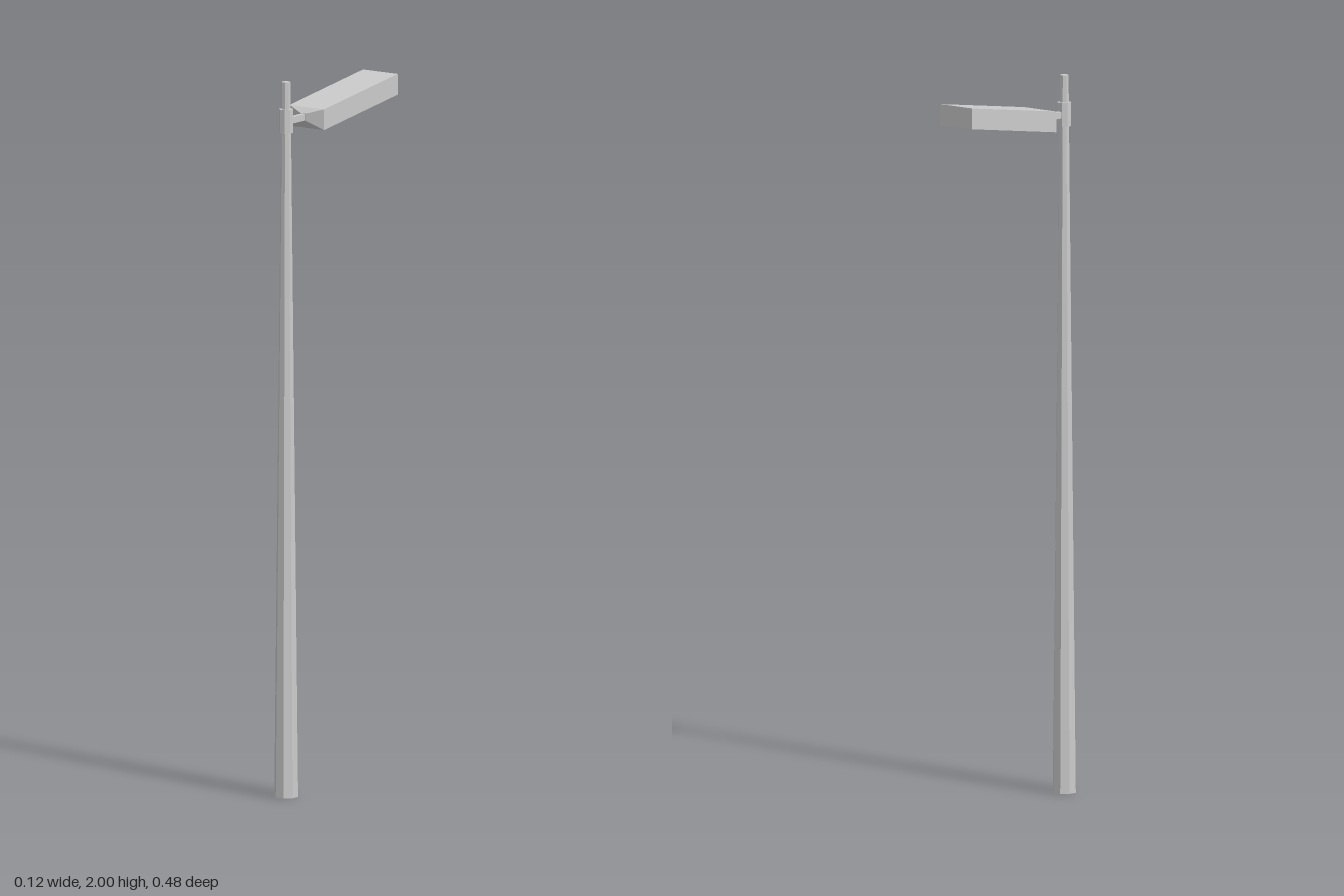
import * as THREE from 'three';

const grey = new THREE.MeshStandardMaterial({ color: 0xcccccc, flatShading: true });
const yellow = new THREE.MeshStandardMaterial({ color: 0xd2c470, flatShading: true });

const POLE_Z = 0.207;
const HEAD_FRONT = 0.109, HEAD_BACK = -0.238, HEAD_BASE = 1.857, HEAD_H = 0.058, SLOPE = 0.14;

// Skin between successive four-cornered rings, with optional end caps
function loft(rings, capStart = false, capEnd = false) {
  const pos = [];
  const quad = (a, b, c, d) => [a, b, c, a, c, d].forEach(p => pos.push(...p));
  for (let i = 0; i < rings.length - 1; i++) {
    const r = rings[i], s = rings[i + 1];
    for (let k = 0; k < 4; k++) {
      const n = (k + 1) % 4;
      quad(r[k], s[k], s[n], r[n]);
    }
  }
  if (capStart) quad(...rings[0]);
  if (capEnd) quad(...[...rings[rings.length - 1]].reverse());
  const geo = new THREE.BufferGeometry();
  geo.setAttribute('position', new THREE.Float32BufferAttribute(pos, 3));
  geo.computeVertexNormals();
  return geo;
}

// Sloping horizontal ring of the lamp head, inset from its outline, at height h above the underside
function headRing(inset, h) {
  const x = 0.059 - inset, f = HEAD_FRONT - inset, b = HEAD_BACK + inset;
  return [[-x, f], [x, f], [x, b], [-x, b]]
    .map(([px, pz]) => [px, HEAD_BASE + h + SLOPE * (HEAD_FRONT - pz), pz]);
}

// Upright ring facing the pole
function uprightRing(hw, y0, y1, z) {
  return [[-hw, y0, z], [hw, y0, z], [hw, y1, z], [-hw, y1, z]];
}

export function createModel() {
  const model = new THREE.Group();
  const add = (name, geo, mat = grey) => {
    const mesh = new THREE.Mesh(geo, mat);
    mesh.name = name;
    model.add(mesh);
    return mesh;
  };

  // Octagonal upright parts, sized across the flats
  const octagon = (name, top, bottom, y0, y1) => {
    const k = 1 / Math.cos(Math.PI / 8);
    const geo = new THREE.CylinderGeometry(top * k, bottom * k, y1 - y0, 8);
    geo.rotateY(Math.PI / 8);
    add(name, geo).position.set(0, (y0 + y1) / 2, POLE_Z);
  };
  octagon('pole', 0.0115, 0.031, 0, 2);
  octagon('collar', 0.0185, 0.0185, 1.858, 1.924);

  // Arm from the collar to the neck
  add('arm', new THREE.BoxGeometry(0.014, 0.018, 0.07)).position.set(0, 1.89, 0.158);

  // Tapered neck of the lamp
  add('neck', loft([
    uprightRing(0.059, HEAD_BASE, HEAD_BASE + HEAD_H, HEAD_FRONT),
    uprightRing(0.009, 1.88, 1.9, 0.127),
  ].reverse(), true));

  // Housing: closed top, outer walls, bottom rim and recess walls
  const recess = headRing(0.022, 0.018);
  add('lampHousing', loft([
    headRing(0, HEAD_H), headRing(0, 0), headRing(0.018, 0), recess,
  ], true));

  // Light panel closing the recess
  add('lightPanel', loft([recess], false, true), yellow);

  return model;
}
